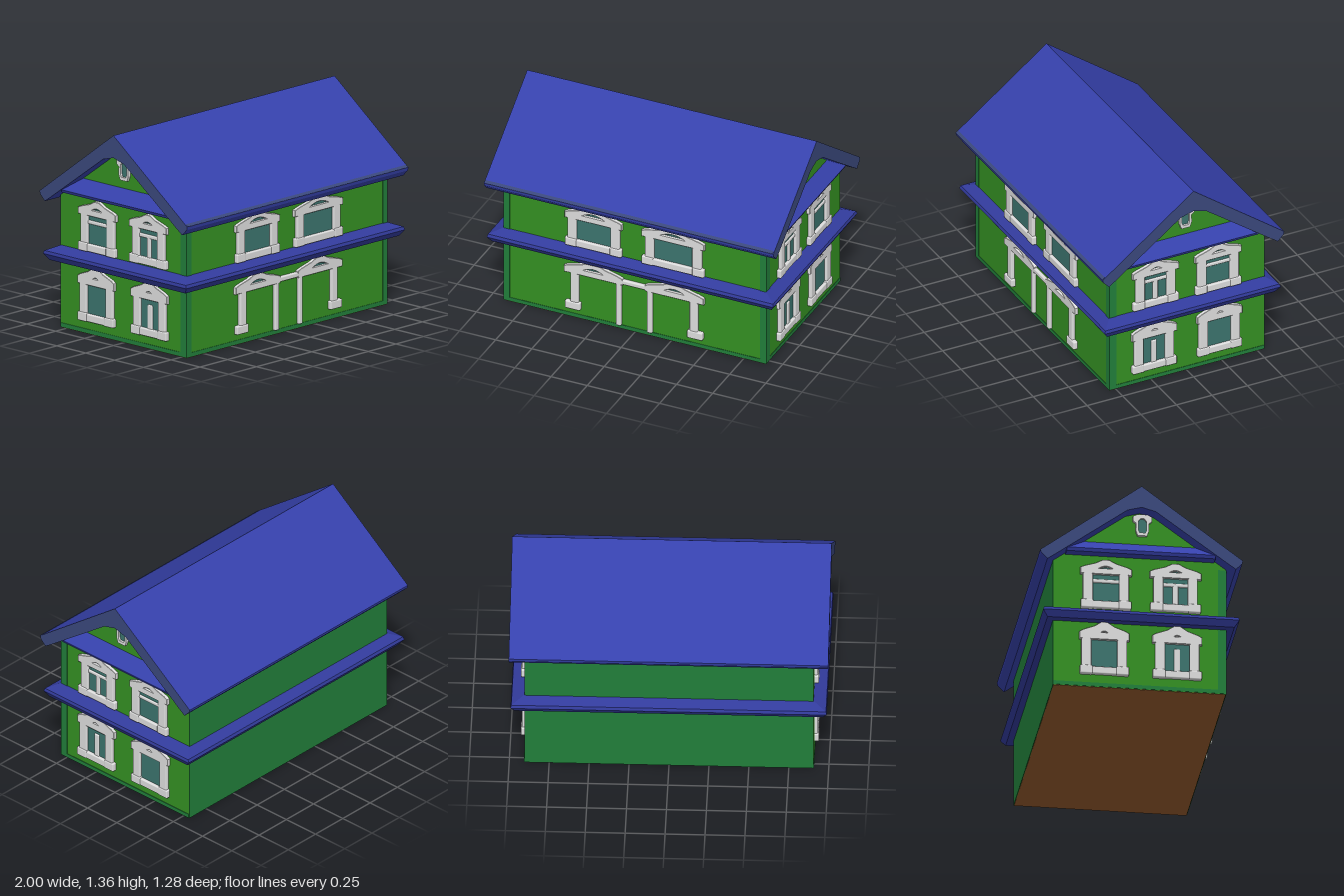
import * as THREE from 'three';
import { RoundedBoxGeometry } from 'three/addons/geometries/RoundedBoxGeometry.js';

const mat = (name, color) => {
  const m = new THREE.MeshStandardMaterial({ color });
  m.name = name;
  return m;
};

export function createModel() {
  const wallGreen = mat('wall green', 0x349022);
  const backGreen = mat('back wall green', 0x217e3a);
  const roofBlue = mat('roof blue', 0x3641ac);
  const beltBlue = mat('belt blue', 0x323b9c);
  const vergeBlue = mat('verge slate blue', 0x3a487c);
  const trimWhite = mat('trim white', 0xdedede);
  const glassTeal = mat('glass teal', 0x3c746e);
  const baseBrown = mat('base brown', 0x95592d);

  const house = new THREE.Group();
  house.name = 'house';

  const add = (parent, name, geometry, material, x = 0, y = 0, z = 0) => {
    const mesh = new THREE.Mesh(geometry, material);
    mesh.name = name;
    mesh.position.set(x, y, z);
    parent.add(mesh);
    return mesh;
  };
  const polygon = (pts) => new THREE.Shape(pts.map(([x, y]) => new THREE.Vector2(x, y)));
  const extrude = (shape, depth) => new THREE.ExtrudeGeometry(shape, { depth, bevelEnabled: false });

  // a cross-section in z and y, swept along x
  const sweepX = (pts, length) =>
    extrude(polygon(pts), length).translate(0, 0, -length / 2).rotateY(Math.PI / 2);

  // soft-edged board standing out from a wall, placed by its edges
  const board = (parent, name, x0, x1, y0, y1, depth = 0.022) =>
    add(parent, name, new RoundedBoxGeometry(x1 - x0, y1 - y0, depth + 0.01, 2, 0.008),
      trimWhite, (x0 + x1) / 2, (y0 + y1) / 2, depth / 2 - 0.005);
  // thin painted plate on a wall
  const plate = (parent, name, material, x, y, w, h, thick = 0.008) =>
    add(parent, name, new THREE.BoxGeometry(w, h, thick), material, x, y, 0.001);

  // walls with gables, back facing and base
  add(house, 'walls', sweepX([[-0.545, 0.002], [0.545, 0.002], [0.545, 0.89], [0, 1.25], [-0.545, 0.89]], 1.81), wallGreen);
  add(house, 'backWall', new THREE.BoxGeometry(1.81, 0.88, 0.004), backGreen, 0, 0.442, -0.546);
  add(house, 'base', new THREE.BoxGeometry(1.808, 0.004, 1.088), baseBrown, 0, 0.002, 0);

  // roof, with a slate strip along the front eave
  add(house, 'roof', sweepX([
    [0, 1.36], [-0.64, 0.885], [-0.635, 0.865], [-0.595, 0.825], [-0.545, 0.86], [-0.09, 1.19], [0, 1.215],
    [0.09, 1.19], [0.545, 0.86], [0.595, 0.825], [0.635, 0.865], [0.64, 0.885],
  ], 2), [vergeBlue, roofBlue]);
  const eave = add(house, 'eaveStrip', new THREE.BoxGeometry(1.99, 0.004, 0.022), vergeBlue, 0, 0.892, 0.631);
  eave.rotation.x = Math.atan2(0.475, 0.64);

  // hipped belt between the floors: stacked rectangles joined by faces
  const rings = [[0.9, 0.54, 0.445], [0.965, 0.59, 0.44], [0.99, 0.62, 0.48], [0.985, 0.613, 0.5], [0.9, 0.54, 0.535]];
  const corners = [[1, 1], [1, -1], [-1, -1], [-1, 1]];
  const verts = [];
  for (let r = 0; r < rings.length - 1; r++) {
    for (let c = 0; c < 4; c++) {
      const at = (ring, corner) => [corner[0] * ring[0], ring[2], corner[1] * ring[1]];
      const a = at(rings[r], corners[c]), b = at(rings[r], corners[(c + 1) % 4]);
      const d = at(rings[r + 1], corners[c]), e = at(rings[r + 1], corners[(c + 1) % 4]);
      verts.push(...a, ...b, ...e, ...a, ...e, ...d);
    }
  }
  const beltGeo = new THREE.BufferGeometry();
  beltGeo.setAttribute('position', new THREE.Float32BufferAttribute(verts, 3));
  beltGeo.computeVertexNormals();
  add(house, 'beltRoof', beltGeo, beltBlue);

  // pointed head over a window, with a small arched light
  const pediment = (parent, x, y, w, h, light) => {
    const s = w / 2;
    const shape = polygon([[-s, 0], [s, 0], [s, h * 0.4], [s * 0.85, h * 0.52], [s * 0.4, h * 0.75],
      [s * 0.12, h], [-s * 0.12, h], [-s * 0.4, h * 0.75], [-s * 0.85, h * 0.52], [-s, h * 0.4]]);
    const hole = new THREE.Path();
    hole.moveTo(-s * light, h * 0.38);
    hole.quadraticCurveTo(0, h * (0.38 + light * 1.3), s * light, h * 0.38);
    hole.closePath();
    shape.holes.push(hole);
    const geo = new THREE.ExtrudeGeometry(shape, {
      depth: 0.016, bevelEnabled: true, bevelThickness: 0.006, bevelSize: 0.003, bevelSegments: 2, curveSegments: 8,
    });
    add(parent, 'pediment', geo, trimWhite, x, y, 0);
    plate(parent, 'archLight', glassTeal, x, y + h * 0.5, s * light * 2.1, h * 0.36);
  };

  // framed window: sill bottom at y, overall width w and height h
  const addWindow = (parent, x, y, w, h, opening, { head = 0.095, light = 0.42, crossbar = false, mullion = 0 } = {}) => {
    const g = new THREE.Group();
    g.name = 'window';
    g.position.set(x, y, 0);
    parent.add(g);
    const headY = h - head, half = opening / 2;
    plate(g, 'glass', glassTeal, 0, (0.045 + headY) / 2, opening + 0.02, headY - 0.04);
    for (const s of [-1, 1]) {
      const inner = s * half, outer = s * (half + 0.062);
      board(g, 'jamb', Math.min(inner, outer), Math.max(inner, outer), 0.03, headY + 0.02);
      const foot = s * (w / 2 - 0.04);
      board(g, 'sillEnd', foot - 0.04, foot + 0.04, -0.002, 0.056, 0.028);
    }
    board(g, 'sill', -w / 2 + 0.01, w / 2 - 0.01, 0, 0.05, 0.025);
    if (crossbar) board(g, 'crossbar', -half - 0.01, half + 0.01, headY - 0.058, headY - 0.033, 0.014);
    if (mullion) board(g, 'mullion', -mullion / 2, mullion / 2, 0.04, headY - 0.035, 0.014);
    pediment(g, 0, headY, w, head, light);
  };

  // darker paint at the wall corners and along the foot
  const paintEdges = (parent, x, halfWidth, sides) => {
    for (const s of sides) plate(parent, 'cornerPaint', backGreen, s * (halfWidth - x / 2), 0.43, x, 0.85, 0.004);
    plate(parent, 'footPaint', backGreen, 0, 0.017, halfWidth * 2, 0.026, 0.004);
  };

  // front face: upper windows and the entrance frame
  const front = new THREE.Group();
  front.name = 'frontDetails';
  front.position.z = 0.545;
  house.add(front);
  paintEdges(front, 0.04, 0.905, [-1, 1]);
  addWindow(front, -0.28, 0.535, 0.39, 0.295, 0.235);
  addWindow(front, 0.27, 0.535, 0.43, 0.295, 0.265);
  for (const s of [-1, 1]) {
    const span = (name, a, b, y0, y1, d) => board(front, name, Math.min(s * a, s * b), Math.max(s * a, s * b), y0, y1, d);
    span('outerPost', 0.385, 0.44, 0.08, 0.36);
    span('postFoot', 0.37, 0.475, 0.07, 0.125, 0.028);
    span('doorPost', 0.09, 0.125, 0.03, 0.36);
    pediment(front, s * 0.28, 0.335, 0.4, 0.1, 0.36);
  }
  board(front, 'doorLintel', -0.13, 0.13, 0.338, 0.37);

  // both gable ends
  for (const s of [-1, 1]) {
    const end = new THREE.Group();
    end.name = s > 0 ? 'leftEndDetails' : 'rightEndDetails';
    end.position.x = s * 0.905;
    end.rotation.y = s * Math.PI / 2;
    house.add(end);
    // local x runs toward the back on one end and the front on the other
    const at = (z) => -s * z;
    paintEdges(end, 0.05, 0.545, [-s]);
    addWindow(end, at(0.225), 0.545, 0.32, 0.325, 0.155, { light: 0.26, crossbar: true, mullion: 0.036 });
    addWindow(end, at(-0.215), 0.54, 0.32, 0.33, 0.165, { light: 0.3, crossbar: true });
    addWindow(end, at(0.235), 0.085, 0.31, 0.355, 0.155, { head: 0.115, light: 0.16, mullion: 0.04 });
    addWindow(end, at(-0.225), 0.085, 0.31, 0.355, 0.165, { head: 0.115, light: 0.16 });

    // attic window
    const attic = polygon([[-0.03, 1.055], [0.03, 1.055], [0.042, 1.09], [0.04, 1.14], [0.06, 1.155],
      [0.06, 1.185], [0.03, 1.2], [-0.03, 1.2], [-0.06, 1.185], [-0.06, 1.155], [-0.04, 1.14], [-0.042, 1.09]]);
    attic.holes.push(polygon([[-0.018, 1.075], [-0.026, 1.095], [-0.026, 1.155], [-0.012, 1.172],
      [0.012, 1.172], [0.026, 1.155], [0.026, 1.095], [0.018, 1.075]]));
    add(end, 'atticFrame', extrude(attic, 0.02), trimWhite, at(0.015));
    plate(end, 'atticGlass', glassTeal, at(0.015), 1.124, 0.06, 0.106);

    // sloping skirt at the foot of the gable
    const skirt = extrude(polygon([[-0.01, 0.905], [0.07, 0.9], [0.08, 0.92], [0, 1.0], [-0.01, 1.0]]), 0.94);
    skirt.translate(0, 0, -0.47).rotateY(-Math.PI / 2);
    add(end, 'gableSkirt', skirt, roofBlue);
  }

  return house;
}
